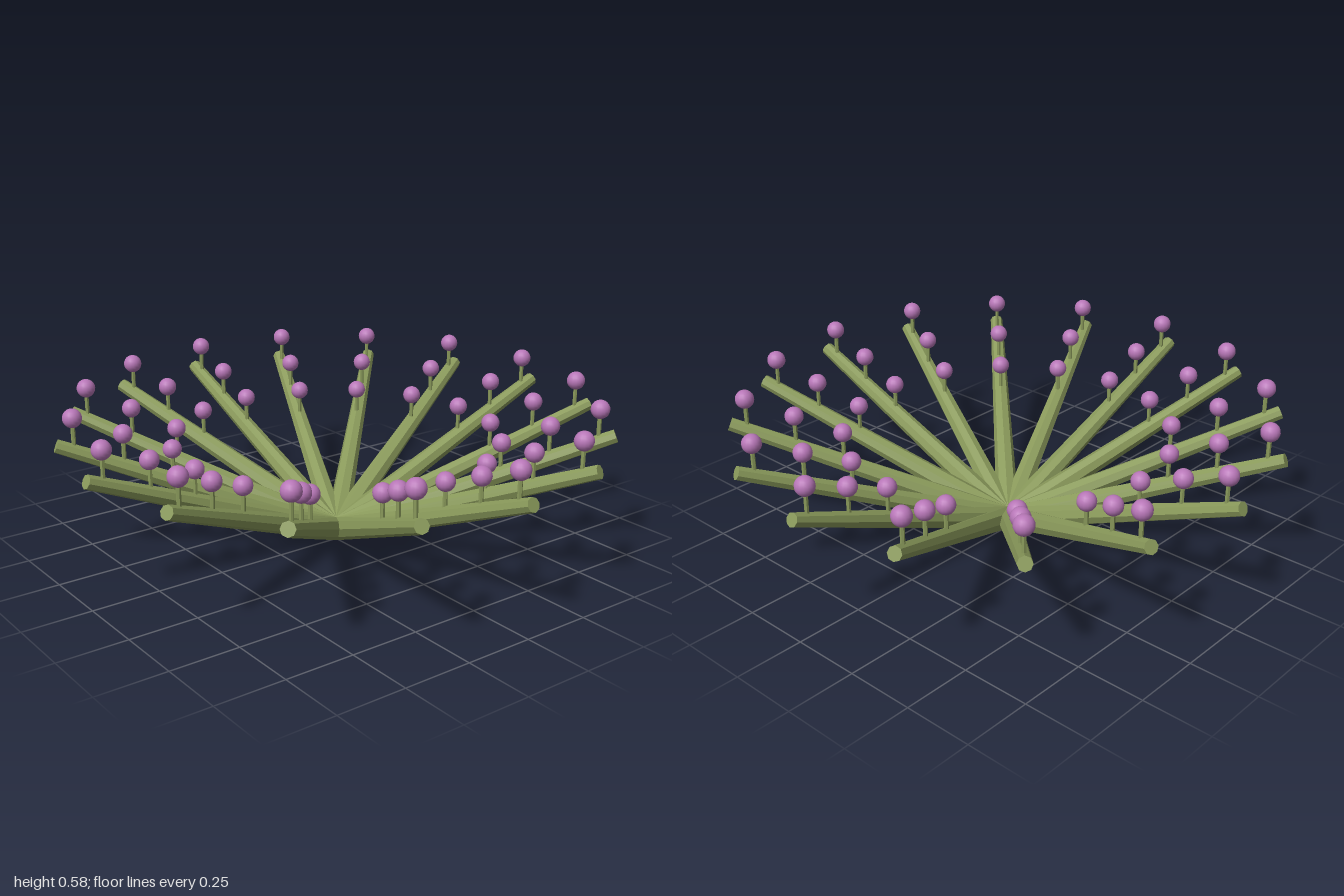
import * as THREE from 'three';

const STEMS = 16;
const TILT = Math.PI / 8;   // rise of each stem above horizontal
const REACH = 0.99;         // horizontal distance from centre to tip
const BASE_R = 0.043, TIP_R = 0.025;
const BASE_Y = BASE_R * Math.cos(TILT);

export function createModel() {
  const model = new THREE.Group();
  model.name = 'plant';

  const green = new THREE.MeshStandardMaterial({ color: 0x8a9a5b });
  green.name = 'moss green';
  green.flatShading = true;
  const pink = new THREE.MeshStandardMaterial({ color: 0xb877b8 });
  pink.name = 'orchid pink';

  // Tapered eight-sided stem, starting at the origin and leaning out along +z
  const length = REACH / Math.cos(TILT);
  const stemGeo = new THREE.CylinderGeometry(TIP_R, BASE_R, length, 8);
  stemGeo.translate(0, length / 2, 0);
  stemGeo.rotateX(Math.PI / 2 - TILT);

  const stalkHeight = 0.12;
  const stalkGeo = new THREE.CylinderGeometry(0.008, 0.008, stalkHeight, 6);
  stalkGeo.translate(0, stalkHeight / 2, 0);
  const budGeo = new THREE.SphereGeometry(0.034, 16, 12);

  const add = (parent, name, geo, mat, y, z) => {
    const mesh = new THREE.Mesh(geo, mat);
    mesh.name = name;
    mesh.position.set(0, y, z);
    parent.add(mesh);
  };

  for (let i = 0; i < STEMS; i++) {
    const branch = new THREE.Group();
    branch.name = 'branch' + (i + 1);
    branch.rotation.y = (i / STEMS) * Math.PI * 2;
    add(branch, 'stem', stemGeo, green, BASE_Y, 0);

    // Three upright stalks with round buds near the outer end
    for (const r of [0.594, 0.762, 0.93]) {
      const y = BASE_Y + r * Math.tan(TILT);
      add(branch, 'stalk', stalkGeo, green, y, r);
      add(branch, 'bud', budGeo, pink, y + stalkHeight, r);
    }
    model.add(branch);
  }
  return model;
}
